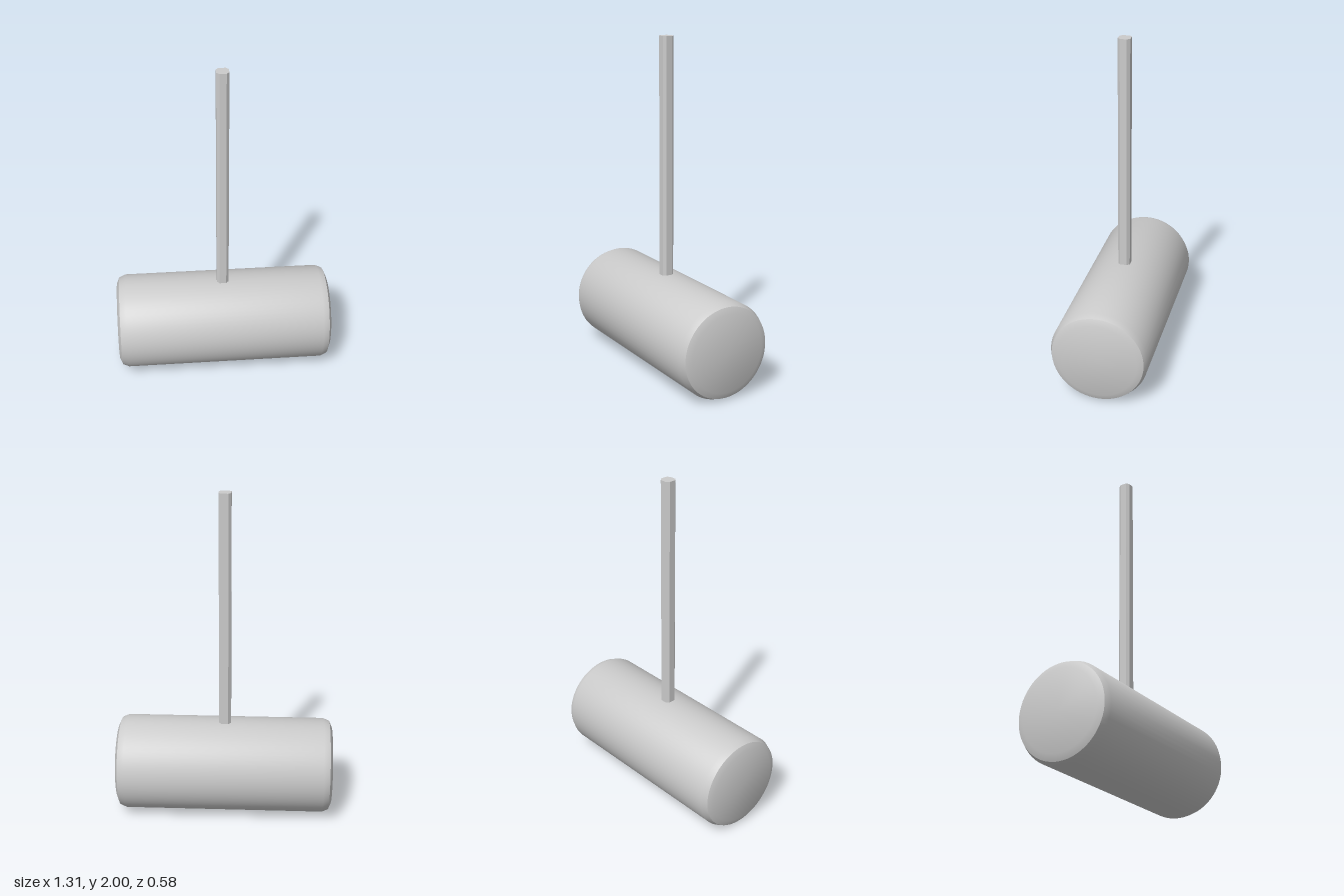
import * as THREE from 'three';
import { toCreasedNormals } from 'three/addons/utils/BufferGeometryUtils.js';

const HEAD_RADIUS = 0.288;
const TOP = 2;

export function createModel() {
  const model = new THREE.Group();
  model.name = 'mallet';
  const material = new THREE.MeshStandardMaterial({ color: 0xcccccc });

  // Head: a drum with two-step bevels at both ends, turned to lie along x
  const end = [[0, 0.653], [0.235, 0.653], [0.272, 0.637], [HEAD_RADIUS, 0.6]];
  const profile = [
    ...end.map(([r, d]) => new THREE.Vector2(r, -d)),
    ...end.map(([r, d]) => new THREE.Vector2(r, d)).reverse(),
  ];
  const headGeometry = toCreasedNormals(new THREE.LatheGeometry(profile, 64), THREE.MathUtils.degToRad(35));
  const head = new THREE.Mesh(headGeometry, material);
  head.name = 'head';
  head.rotation.z = Math.PI / 2;
  head.position.y = HEAD_RADIUS;
  model.add(head);

  // Handle: a square bar with chamfered corners, set into the head
  const w = 0.036, c = 0.02;
  const section = new THREE.Shape([
    [w, -c], [w, c], [c, w], [-c, w], [-w, c], [-w, -c], [-c, -w], [c, -w],
  ].map(([x, y]) => new THREE.Vector2(x, y)));
  const handleGeometry = new THREE.ExtrudeGeometry(section, { depth: TOP - HEAD_RADIUS, bevelEnabled: false });
  handleGeometry.rotateX(-Math.PI / 2);
  const handle = new THREE.Mesh(handleGeometry, material);
  handle.name = 'handle';
  handle.position.y = HEAD_RADIUS;
  model.add(handle);

  return model;
}
